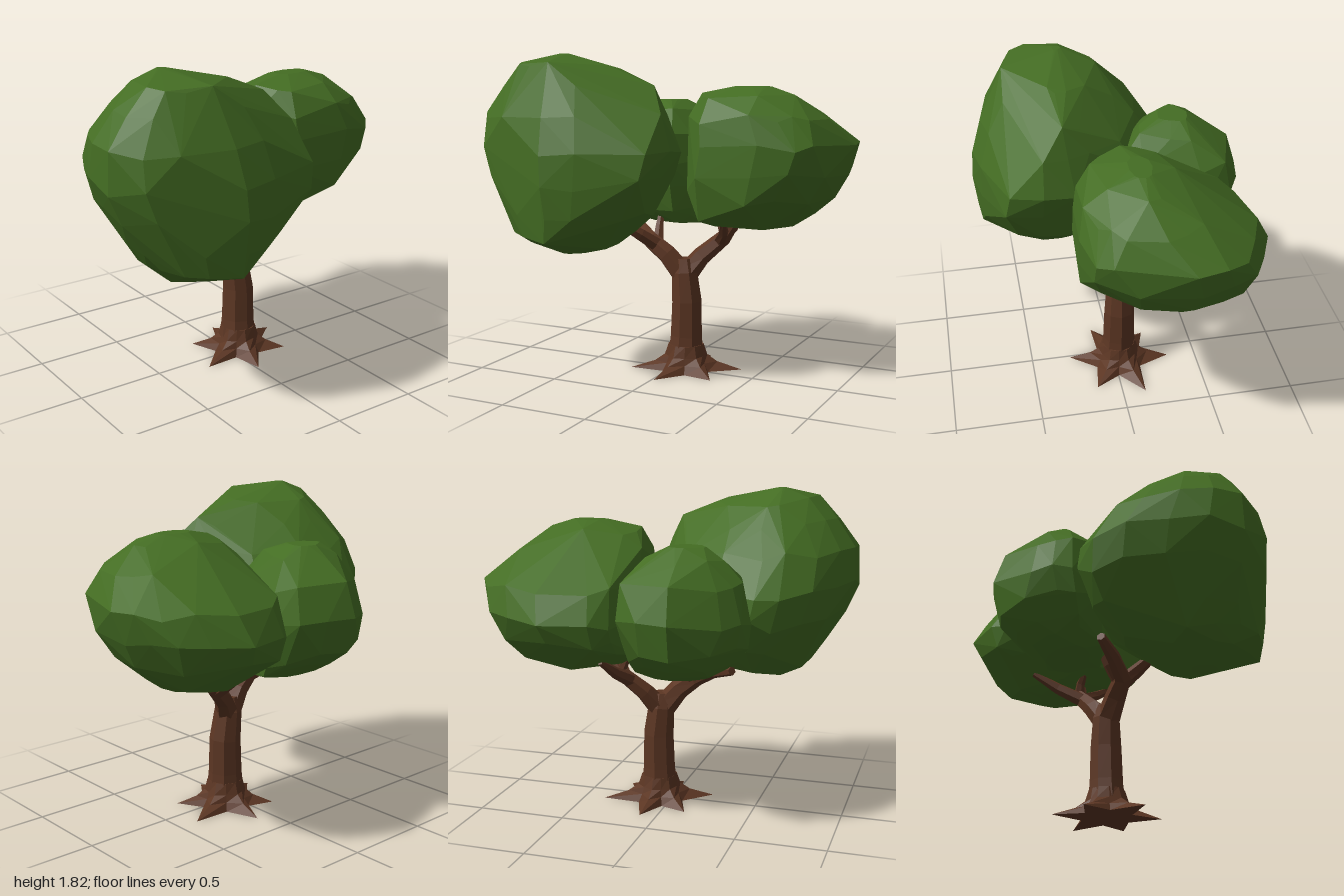
import * as THREE from 'three';
import { ConvexGeometry } from 'three/addons/geometries/ConvexGeometry.js';

const leafGreen = new THREE.MeshStandardMaterial({ color: 0x446d23 });
leafGreen.name = 'leaf green';
const barkBrown = new THREE.MeshStandardMaterial({ color: 0x5c3623 });
barkBrown.name = 'bark brown';

function seeded(seed) {
  let s = seed;
  return () => (s = (s * 16807) % 2147483647) / 2147483647;
}

// Skin over rings of points (each ring runs from +x towards +z), closed at both ends, faceted.
function loft(rings) {
  const n = rings[0].length;
  const pos = rings.flat().flatMap((p) => [p.x, p.y, p.z]);
  const index = [];
  for (let i = 0; i < rings.length - 1; i++) {
    for (let j = 0; j < n; j++) {
      const a = i * n + j, b = i * n + (j + 1) % n;
      index.push(a, a + n, b, b, a + n, b + n);
    }
  }
  [0, rings.length - 1].forEach((r, end) => {
    const c = rings[r].reduce((s, p) => s.add(p), new THREE.Vector3()).divideScalar(n);
    const k = pos.length / 3;
    pos.push(c.x, c.y, c.z);
    for (let j = 0; j < n; j++) {
      const a = r * n + j, b = r * n + (j + 1) % n;
      if (end) index.push(k, b, a);
      else index.push(k, a, b);
    }
  });
  const indexed = new THREE.BufferGeometry();
  indexed.setAttribute('position', new THREE.Float32BufferAttribute(pos, 3));
  indexed.setIndex(index);
  const geo = indexed.toNonIndexed();
  geo.computeVertexNormals();
  return geo;
}

// Tapering limb through [x, y, z, radius] stations
function limb(stations, sides = 7) {
  const pts = stations.map((s) => new THREE.Vector3(s[0], s[1], s[2]));
  const front = new THREE.Vector3(0, 0, 1);
  return loft(pts.map((p, i) => {
    const t = pts[Math.min(i + 1, pts.length - 1)].clone().sub(pts[Math.max(i - 1, 0)]).normalize();
    const u = t.clone().cross(front).normalize();
    const v = u.clone().cross(t);
    return Array.from({ length: sides }, (_, j) => {
      const a = (j / sides) * Math.PI * 2, r = stations[i][3];
      return p.clone().addScaledVector(u, Math.cos(a) * r).addScaledVector(v, Math.sin(a) * r);
    });
  }));
}

// Star-shaped root flare: six roots [angle in degrees, reach], with a valley after each
function rootFlare() {
  const roots = [[-20, 0.325], [36, 0.28], [102, 0.3], [157, 0.32], [222, 0.28], [274, 0.305]];
  // Rings of [y, share of root reach beyond the trunk, valley radius]
  return loft([[0, 1, 0.15], [0.045, 0.36, 0.125], [0.085, 0.1, 0.112], [0.15, 0, 0.1]].map(([y, share, valley]) =>
    roots.flatMap(([deg, reach], i) => {
      const next = i < 5 ? roots[i + 1][0] : roots[0][0] + 360;
      return [[deg, 0.102 + (reach - 0.102) * share], [(deg + next) / 2, valley]].map(([d, r]) => {
        const a = THREE.MathUtils.degToRad(d);
        return new THREE.Vector3(0.075 + r * Math.cos(a), y, -0.025 + r * Math.sin(a));
      });
    })));
}

// Faceted crown: a plan outline in -1..1 fitted to levels of [y, x0, x1, z0, z1, bevel].
// The bevel trims the front left corner, where ox + oz exceeds it.
function crown(outline, levels, seed) {
  const rnd = seeded(seed);
  const pts = [];
  levels.forEach(([y, x0, x1, z0, z1, bevel = 2], i) => {
    const edge = i === 0 || i === levels.length - 1;
    outline.forEach(([ox, oz]) => {
      const extreme = Math.max(Math.abs(ox), Math.abs(oz)) === 1;
      const skip = rnd() < 0.15, k = extreme ? 1 : 0.97 + rnd() * 0.05, dy = (rnd() - 0.5) * 0.07;
      if (skip && !extreme) return;
      const trim = Math.max(0, ox + oz - bevel) / 2;
      pts.push(new THREE.Vector3(
        (x0 + x1) / 2 + ((ox - trim) * k * (x1 - x0)) / 2,
        y + (edge ? 0 : dy),
        (z0 + z1) / 2 + ((oz - trim) * k * (z1 - z0)) / 2));
    });
  });
  return new ConvexGeometry(pts);
}

export function createModel() {
  const tree = new THREE.Group();
  tree.name = 'tree';
  const add = (name, geo, mat) => {
    const m = new THREE.Mesh(geo, mat);
    m.name = name;
    tree.add(m);
  };

  // Trunk and roots
  add('roots', rootFlare(), barkBrown);
  add('trunk', limb([
    [0.072, 0.08, -0.025, 0.108], [0.075, 0.2, -0.028, 0.096], [0.077, 0.4, -0.03, 0.09],
    [0.058, 0.57, -0.035, 0.078], [0.055, 0.65, -0.035, 0.05],
  ], 8), barkBrown);

  // Main branches and their forks
  const branches = {
    rightBranch: [[0.04, 0.57, -0.03, 0.07], [-0.04, 0.67, -0.01, 0.06], [-0.14, 0.745, 0, 0.052], [-0.26, 0.81, -0.09, 0.04], [-0.4, 0.85, -0.2, 0.025]],
    rightFrontTwig: [[-0.1, 0.72, 0, 0.045], [-0.17, 0.79, 0.08, 0.038], [-0.28, 0.88, 0.18, 0.02]],
    rightUpperTwig: [[-0.1, 0.73, -0.01, 0.035], [-0.125, 0.82, -0.08, 0.026], [-0.14, 0.94, -0.15, 0.013]],
    leftBranch: [[0.07, 0.56, -0.04, 0.068], [0.14, 0.66, -0.09, 0.055], [0.26, 0.77, -0.14, 0.045], [0.38, 0.92, -0.1, 0.025]],
    leftBackTwig: [[0.22, 0.74, -0.14, 0.042], [0.26, 0.81, -0.27, 0.033], [0.29, 0.9, -0.41, 0.018]],
    leftFrontTwig: [[0.24, 0.75, -0.13, 0.038], [0.31, 0.82, -0.02, 0.028], [0.36, 0.9, 0.1, 0.015]],
    leftInnerTwig: [[0.27, 0.78, -0.14, 0.034], [0.24, 0.85, -0.14, 0.025], [0.17, 0.95, -0.12, 0.015]],
  };
  for (const [name, stations] of Object.entries(branches)) add(name, limb(stations, 6), barkBrown);

  // Large crown, to the front and right
  add('largeCrown', crown(
    [[-1, 0.03], [-1, 0.38], [-0.82, 0.7], [-0.53, 0.88], [-0.02, 1], [0.32, 0.95], [0.93, 0.73], [1, 0.38],
      [0.95, 0.06], [0.84, -0.22], [0.6, -0.64], [0.15, -0.9], [-0.24, -1], [-0.45, -0.93], [-0.72, -0.7], [-0.9, -0.33]],
    [[1.82, -0.6, -0.55, 0.19, 0.24], [1.74, -0.76, -0.17, 0, 0.55, 0.9], [1.62, -0.88, 0.05, -0.1, 0.6, 1.1],
      [1.48, -0.99, 0.13, -0.23, 0.68, 1.35], [1.3, -1, 0.18, -0.36, 0.74, 1.6], [1.13, -0.93, 0.13, -0.37, 0.75],
      [0.96, -0.82, 0.04, -0.27, 0.73, 1.4], [0.84, -0.75, -0.07, -0.1, 0.71, 1.1], [0.775, -0.68, -0.17, 0.04, 0.62, 0.9],
      [0.715, -0.5, -0.34, 0.3, 0.45, 0.9]], 11), leafGreen);

  // Medium crown on the left
  add('mediumCrown', crown(
    [[-0.81, -0.75], [-0.6, -0.9], [0, -1], [0.45, -0.82], [0.78, -0.68], [0.93, -0.42], [1, -0.1], [0.9, 0.5],
      [0.75, 0.73], [0.6, 0.9], [0.17, 1], [-0.56, 0.96], [-0.77, 0.69], [-0.94, 0.5], [-1, 0.1], [-0.98, -0.3]],
    [[1.64, 0.36, 0.57, -0.12, 0], [1.57, 0.18, 0.71, -0.24, 0.18, 1.2], [1.47, 0.11, 0.88, -0.42, 0.25, 1.4],
      [1.31, 0.09, 1, -0.67, 0.28], [1.16, 0.07, 0.95, -0.75, 0.28], [1.04, 0.08, 0.88, -0.7, 0.27, 1.3],
      [0.94, 0.1, 0.78, -0.59, 0.22, 0.95], [0.88, 0.22, 0.66, -0.46, 0.13, 0.9], [0.84, 0.42, 0.54, -0.34, -0.1]], 23), leafGreen);

  // Small crown at the back
  add('smallCrown', crown(
    [[-1, -0.03], [-0.9, -0.3], [-0.7, -0.57], [-0.57, -0.73], [0, -1], [0.5, -0.9], [0.9, -0.73], [1, -0.3],
      [0.86, 0.24], [0.74, 0.65], [0.5, 1], [0, 0.94], [-0.55, 0.76], [-0.88, 0.38]],
    [[1.55, -0.3, -0.1, -0.46, -0.29], [1.48, -0.4, 0.02, -0.58, -0.17], [1.35, -0.5, 0.12, -0.7, -0.06],
      [1.18, -0.55, 0.15, -0.76, -0.02], [1.03, -0.53, 0.14, -0.71, -0.02], [0.92, -0.46, 0.12, -0.61, -0.05],
      [0.86, -0.4, 0.1, -0.52, -0.1], [0.83, -0.3, 0.06, -0.43, -0.18]], 37), leafGreen);

  return tree;
}
